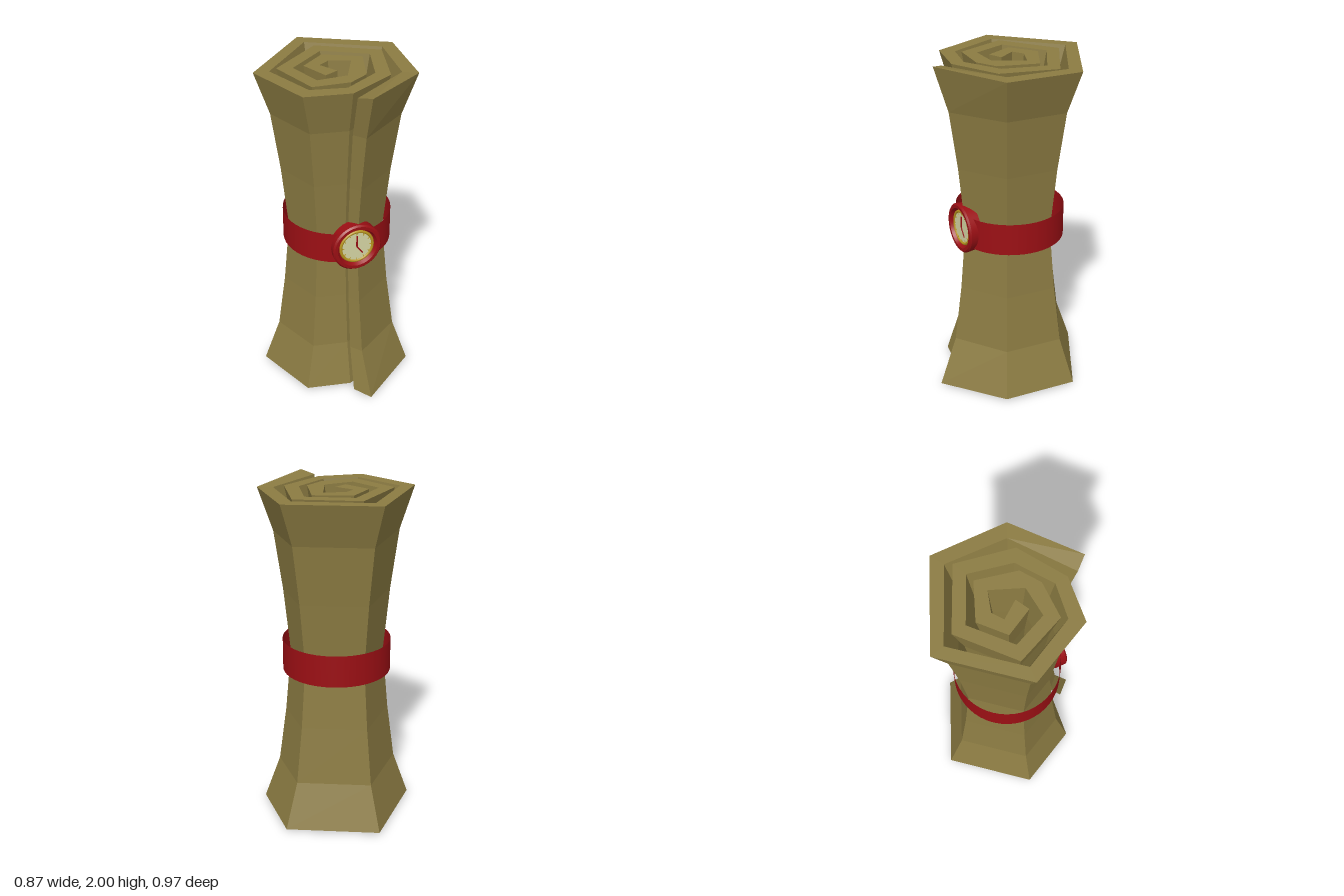
import * as THREE from 'three';

const paper = new THREE.MeshStandardMaterial({ color: 0x8b7b42, flatShading: true });
const red = new THREE.MeshStandardMaterial({ color: 0x9b0f14, side: THREE.DoubleSide });
const gold = new THREE.MeshStandardMaterial({ color: 0xb8961e });
const cream = new THREE.MeshStandardMaterial({ color: 0xd6d6a4 });

// Spiral cross-section [x, z]: outer and inner faces of the rolled sheet
const OUTER = [
  [0.04, 0.47], [0.4, 0.22], [0.435, -0.22], [-0.05, -0.485], [-0.435, -0.1], [-0.285, 0.28],
  [-0.025, 0.33], [0.25, 0.187], [0.335, -0.14], [0, -0.335], [-0.3, -0.11], [-0.2, 0.182],
  [0.015, 0.2], [0.13, 0.135], [0.2, -0.095], [-0.005, -0.2], [-0.15, -0.09], [-0.08, 0.07],
];
const INNER = [
  [-0.025, 0.39], [0.32, 0.175], [0.355, -0.18], [-0.037, -0.4], [-0.347, -0.087], [-0.225, 0.21],
  [-0.025, 0.255], [0.18, 0.135], [0.25, -0.11], [0.006, -0.25], [-0.213, -0.084], [-0.145, 0.112],
  [-0.05, 0.112], [0.03, 0.112], [0.117, -0.06], [0, -0.107], [-0.065, -0.068], [0, 0.035],
];
// Pinched silhouette [y, scale]
const LEVELS = [[0.01, 1], [0.28, 0.79], [0.62, 0.69], [1, 0.615], [1.38, 0.7], [1.73, 0.81], [1.98, 1]];

function scrollGeometry() {
  const n = OUTER.length;
  const loop = [...OUTER, ...[...INNER].reverse()];
  const last = LEVELS.length - 1;
  const pos = [];
  const point = (j, l) => {
    let [y, s] = LEVELS[l];
    let [x, z] = loop[j];
    // the loose outer corner flares a little past both ends
    if (j === 0 && l === 0) { y = 0; x = 0.05; z = 0.485; }
    if (j === 0 && l === last) { y = 2; x = 0.03; z = 0.465; }
    return [x * s, y, z * s];
  };
  const quad = (a, b, c, d) => pos.push(...a, ...b, ...c, ...a, ...c, ...d);
  // walls
  for (let l = 0; l < last; l++) {
    for (let j = 0; j < loop.length; j++) {
      const k = (j + 1) % loop.length;
      quad(point(j, l), point(k, l), point(k, l + 1), point(j, l + 1));
    }
  }
  // end faces
  for (let i = 0; i < n - 1; i++) {
    const ids = [i, i + 1, 2 * n - 2 - i, 2 * n - 1 - i];
    quad(...ids.map((j) => point(j, last)));
    quad(...[...ids].reverse().map((j) => point(j, 0)));
  }
  const geo = new THREE.BufferGeometry();
  geo.setAttribute('position', new THREE.Float32BufferAttribute(pos, 3));
  geo.computeVertexNormals();
  return geo;
}

function add(parent, name, geometry, material, x = 0, y = 0, z = 0) {
  const mesh = new THREE.Mesh(geometry, material);
  mesh.name = name;
  mesh.position.set(x, y, z);
  parent.add(mesh);
  return mesh;
}

// Lathe with separate points per straight segment, keeping its edges sharp
function sharpLathe(points, segments) {
  const pts = points.flatMap(([r, y], i) => {
    const v = new THREE.Vector2(r, y);
    return i > 0 && i < points.length - 1 ? [v, new THREE.Vector2(r, y + 1e-4)] : [v];
  });
  return new THREE.LatheGeometry(pts, segments);
}

export function createModel() {
  const model = new THREE.Group();
  model.name = 'rolledScroll';
  add(model, 'scroll', scrollGeometry(), paper);

  // strap around the waist, with a web closing the middle of the roll
  add(model, 'strap', new THREE.CylinderGeometry(0.317, 0.317, 0.19, 48, 1, true), red, 0.013, 1.005, -0.01);
  const web = add(model, 'strapWeb', new THREE.CircleGeometry(0.12, 24), red, 0, 1, 0);
  web.rotation.x = -Math.PI / 2;

  // watch facing the front
  const watch = new THREE.Group();
  watch.name = 'watch';
  watch.position.set(0.015, 1.005, 0.25);
  model.add(watch);

  const caseProfile = [[0, 0], [0.142, 0], [0.147, 0.065], [0.138, 0.075], [0.12, 0.075], [0.108, 0.052], [0, 0.052]];
  add(watch, 'case', sharpLathe(caseProfile, 40), red).rotation.x = Math.PI / 2;
  add(watch, 'goldRing', new THREE.TorusGeometry(0.097, 0.009, 8, 40), gold, 0, 0, 0.055);
  add(watch, 'dial', new THREE.CircleGeometry(0.094, 40), cream, 0, 0, 0.057);

  // hour marks
  for (let i = 0; i < 12; i++) {
    const a = (i * Math.PI) / 6;
    const mark = add(watch, 'hourMark', new THREE.BoxGeometry(0.004, 0.012, 0.003), gold,
      0.083 * Math.sin(a), 0.083 * Math.cos(a), 0.058);
    mark.rotation.z = -a;
  }
  // hands
  for (const [name, length, angle] of [['minuteHand', 0.07, 0], ['hourHand', 0.06, 2.5]]) {
    const hand = add(watch, name, new THREE.BoxGeometry(0.008, length, 0.004), red,
      (Math.sin(angle) * length) / 2, (Math.cos(angle) * length) / 2, 0.06);
    hand.rotation.z = -angle;
  }
  return model;
}
